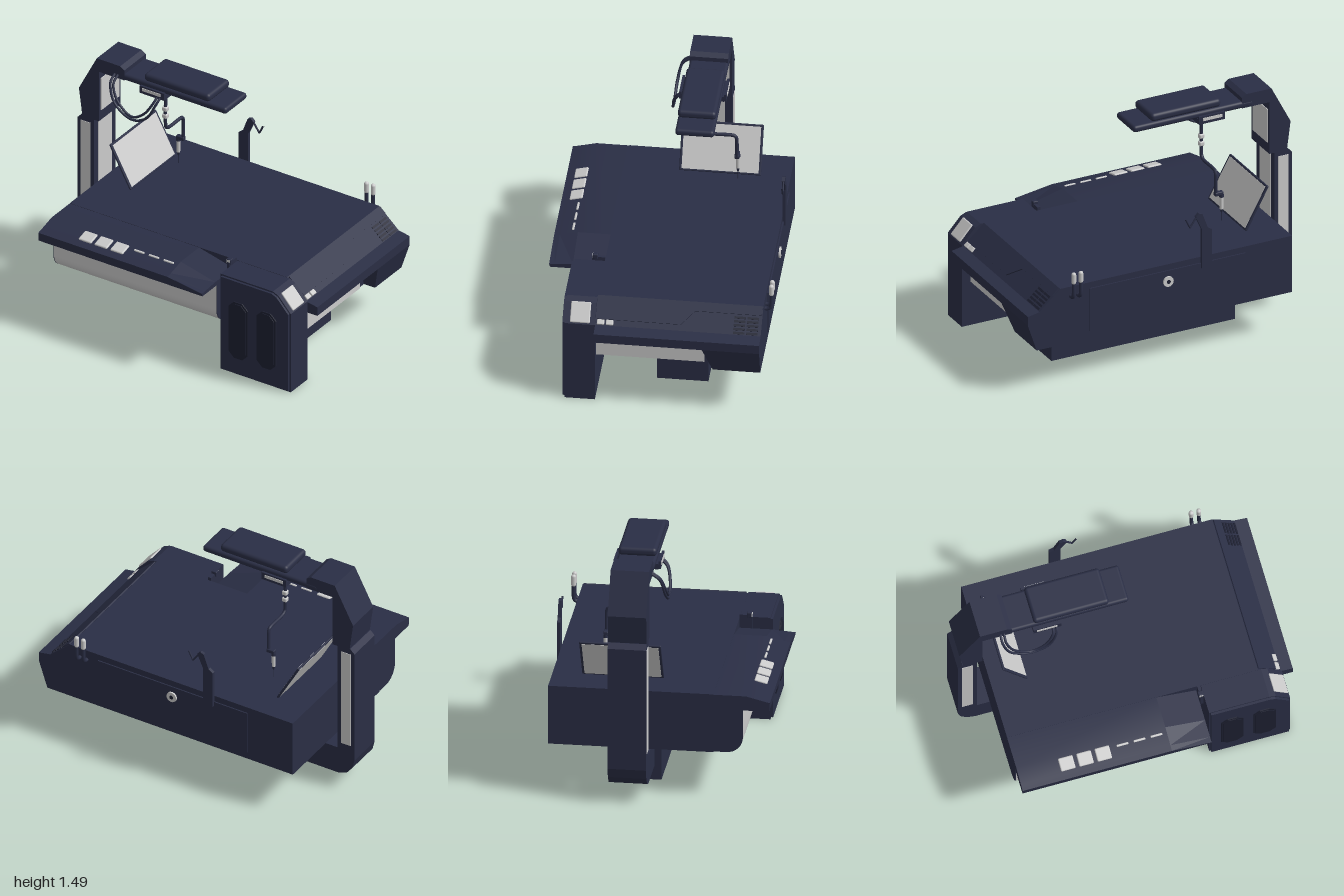
import * as THREE from 'three';
import { RoundedBoxGeometry } from 'three/addons/geometries/RoundedBoxGeometry.js';
import { toCreasedNormals } from 'three/addons/utils/BufferGeometryUtils.js';

const navy = new THREE.MeshStandardMaterial({ color: 0x2a2e45 });
const dark = new THREE.MeshStandardMaterial({ color: 0x1d2031 });
const grey = new THREE.MeshStandardMaterial({ color: 0xcccccc });

export function createModel() {
  const root = new THREE.Group();

  const add = (name, geo, mat = navy, parent = root) => {
    const m = new THREE.Mesh(geo, mat);
    m.name = name;
    parent.add(m);
    return m;
  };
  // Box from its extents, optionally rounded
  const box = (name, [x0, x1], [y0, y1], [z0, z1], mat = navy, r = 0, parent = root) => {
    const s = [x1 - x0, y1 - y0, z1 - z0];
    const g = r ? new RoundedBoxGeometry(...s, 3, r) : new THREE.BoxGeometry(...s);
    g.translate((x0 + x1) / 2, (y0 + y1) / 2, (z0 + z1) / 2);
    return add(name, g, mat, parent);
  };
  const extrude = (pts, depth) => new THREE.ExtrudeGeometry(
    new THREE.Shape(pts.map(p => new THREE.Vector2(...p))), { depth, bevelEnabled: false });
  // Prism of an (x, y) outline along z
  const prismZ = (name, pts, z0, z1, mat = navy) =>
    add(name, extrude(pts, z1 - z0).translate(0, 0, z0), mat);
  // Prism of a (z, y) outline along x
  const prismX = (name, pts, x0, x1, mat = navy) =>
    add(name, toCreasedNormals(extrude(pts, x1 - x0).rotateY(-Math.PI / 2).translate(x1, 0, 0), 0.5), mat);
  const tube = (name, pts, r, mat = navy, tension = 0.5) => add(name, new THREE.TubeGeometry(
    new THREE.CatmullRomCurve3(pts.map(p => new THREE.Vector3(...p)), false, 'catmullrom', tension), 60, r, 10), mat);
  const rod = (name, x, y0, y1, z, rTop, rBottom, mat = navy) =>
    add(name, new THREE.CylinderGeometry(rTop, rBottom, y1 - y0, 16).translate(x, (y0 + y1) / 2, z), mat);

  // Main body and pedestal
  prismZ('body', [[-0.8, 0.29], [0.86, 0.29], [0.86, 0.47], [1, 0.47], [1, 0.53],
    [0.92, 0.545], [0.78, 0.67], [-0.8, 0.67]], -0.65, 0.36);
  box('pedestal', [-0.59, 0.66], [0, 0.29], [-0.3, 0.015]);
  box('rightSidePanel', [0.85, 0.87], [0.292, 0.47], [-0.3, 0.36], grey);

  // Rear right bracket with a chamfered lower front corner
  const bracket = prismZ('sideBracket', [[0.85, 0.29], [0.94, 0.29], [1, 0.47], [0.85, 0.47]], -0.65, -0.3);
  const bp = bracket.geometry.attributes.position;
  for (let i = 0; i < bp.count; i++) if (bp.getY(i) < 0.3 && bp.getZ(i) > -0.4) bp.setZ(i, -0.36);
  bracket.geometry.computeVertexNormals();

  // Sloped right edge: stepped cover, vents and keys
  const slope = new THREE.Group();
  slope.name = 'slopedEdge';
  slope.position.set(0.85, 0.6075, 0);
  slope.rotation.z = Math.atan2(-0.125, 0.14);
  root.add(slope);
  add('steppedCover', extrude([[-0.09, -0.35], [0.056, -0.35], [0.056, 0.16], [-0.034, 0.24],
    [-0.034, 0.645], [-0.09, 0.645]], 0.008).rotateX(-Math.PI / 2), navy, slope);
  for (const z of [-0.63, -0.55]) {
    for (let i = 0; i < 5; i++) {
      const s = -0.02 + i * 0.024;
      box('ventSlat', [s, s + 0.014], [-0.005, 0.004], [z, z + 0.07], dark, 0, slope);
    }
  }
  for (const z of [0.25, 0.305]) box('sideKey', [0.058, 0.09], [-0.005, 0.012], [z, z + 0.045], grey, 0.005, slope);

  // Front apron: rounded panel with dark end plates
  const apron = [[0.35, 0.575], [0.35, 0.295], [0.44, 0.295]];
  for (let i = 1; i <= 8; i++) {
    const a = (i / 8) * Math.PI / 2;
    apron.push([0.44 + 0.1 * Math.sin(a), 0.395 - 0.1 * Math.cos(a)]);
  }
  apron.push([0.54, 0.575]);
  prismX('frontApron', apron, -0.795, 0.385, grey);
  prismX('apronEnd', apron, -0.8, -0.795);
  prismX('apronEnd', apron, 0.385, 0.39);

  // Control ledge, its right end sloping down
  const ledge = [[0.35, 0.575], [0.7, 0.575], [0.705, 0.632], [0.67, 0.64], [0.56, 0.668], [0.35, 0.668]];
  prismX('controlLedge', ledge, -0.8, 0.14);
  const tray = prismX('slopedTray', ledge, 0.14, 0.39);
  const tp = tray.geometry.attributes.position;
  for (let i = 0; i < tp.count; i++)
    if (tp.getX(i) > 0.3 && tp.getY(i) > 0.6) tp.setY(i, 0.595 + (tp.getY(i) - 0.632) * 0.3);
  tray.geometry.computeVertexNormals();

  // Buttons on the ledge
  const ledgeTilt = Math.atan2(0.028, 0.11);
  for (let i = 0; i < 3; i++) {
    const key = add('largeButton', new RoundedBoxGeometry(0.092, 0.016, 0.082, 3, 0.008), grey);
    key.position.set(-0.497 + i * 0.115, 0.656, 0.615);
    const bar = add('barButton', new RoundedBoxGeometry(0.074, 0.012, 0.014, 2, 0.005), grey);
    bar.position.set(-0.14 + i * 0.107, 0.662, 0.593);
    key.rotation.x = bar.rotation.x = ledgeTilt;
  }

  // Control cabinet with octagonal doors and angled touch pad
  prismZ('controlCabinet', [[0.42, 0], [0.93, 0], [0.93, 0.55], [0.84, 0.65], [0.8, 0.668], [0.42, 0.668]], 0.36, 0.545);
  prismZ('cabinetFront', [[0.43, 0.01], [0.92, 0.01], [0.92, 0.55], [0.835, 0.643], [0.8, 0.658], [0.43, 0.658]], 0.545, 0.56);
  for (const x of [0.56, 0.765]) {
    const octagon = (w, h, c) => [[-w + c, -h], [w - c, -h], [w, -h + c], [w, h - c], [w - c, h], [-w + c, h], [-w, h - c], [-w, -h + c]]
      .map(([px, py]) => [x + px, 0.32 + py]);
    prismZ('cabinetDoor', octagon(0.07, 0.197, 0.04), 0.555, 0.567, dark);
    prismZ('cabinetDoorInset', octagon(0.058, 0.185, 0.034), 0.567, 0.571, dark);
  }
  const pad = add('touchPad', new RoundedBoxGeometry(0.13, 0.014, 0.122, 3, 0.007), grey);
  pad.position.set(0.882, 0.605, 0.453);
  pad.rotation.z = -0.838;
  box('latchBar', [0.395, 0.415], [0.57, 0.69], [0.36, 0.44]);
  box('latch', [0.385, 0.42], [0.675, 0.708], [0.405, 0.435], navy, 0.005);
  box('latchFace', [0.39, 0.415], [0.68, 0.703], [0.433, 0.438], grey);

  // Side column, foot and upper arm
  prismZ('columnAndFoot', [[-0.6, 0.1], [-0.89, 0.1], [-0.945, 0.12], [-0.985, 0.17], [-1, 0.23], [-1, 1.02],
    [-0.97, 1.05], [-0.88, 1.05], [-0.88, 0.285], [-0.6, 0.285]].reverse(), -0.26, -0.025);
  prismZ('upperArm', [[-0.965, 1.04], [-0.845, 1.04], [-0.845, 1.39], [-0.66, 1.39], [-0.66, 1.46], [-0.69, 1.48],
    [-0.86, 1.48], [-0.99, 1.23]], -0.26, -0.025);
  box('columnPanel', [-0.975, -0.905], [0.33, 1.01], [-0.263, -0.022], grey);
  box('columnInnerPanel', [-0.885, -0.877], [0.33, 1.01], [-0.215, -0.07], grey);
  box('upperArmPanel', [-0.85, -0.84], [1.11, 1.335], [-0.245, -0.045], grey);

  // Overhead beam, cover and carriage
  box('overheadBeam', [-0.74, 0.078], [1.388, 1.432], [-0.262, -0.025], navy, 0.018);
  box('beamCover', [-0.52, -0.045], [1.432, 1.485], [-0.26, -0.025], navy, 0.022);
  box('carriage', [-0.53, -0.355], [1.358, 1.392], [-0.272, -0.012]);
  for (const z of [-0.285, -0.012]) box('carriageEnd', [-0.53, -0.355], [1.36, 1.41], [z, z + 0.014]);
  for (const z of [-0.29, 0.002]) box('carriageLabel', [-0.51, -0.38], [1.38, 1.4], [z, z + 0.004], grey);
  rod('armSocket', -0.44, 1.33, 1.36, -0.145, 0.035, 0.02);

  // Suspended arm with ball joints and hand tool
  tube('suspendedArm', [[-0.44, 1.36, -0.145], [-0.44, 1.25, -0.145], [-0.44, 1.1, -0.145], [-0.44, 1.065, -0.16],
    [-0.44, 1.055, -0.2], [-0.44, 1.055, -0.31], [-0.44, 1.04, -0.335], [-0.44, 1, -0.34], [-0.44, 0.9, -0.34]], 0.011);
  for (const y of [1.155, 1.205]) box('joint', [-0.457, -0.423], [y - 0.016, y + 0.016], [-0.162, -0.128], grey, 0.009);
  box('toolBracket', [-0.487, -0.43], [0.885, 0.91], [-0.355, -0.325], navy, 0.006);
  rod('toolNeck', -0.477, 0.87, 0.89, -0.342, 0.014, 0.014);
  rod('toolGrip', -0.477, 0.79, 0.875, -0.342, 0.013, 0.011, grey);
  rod('toolTip', -0.477, 0.765, 0.79, -0.342, 0.011, 0.004);
  rod('needle', -0.477, 0.71, 0.77, -0.342, 0.002, 0.002);

  // Pair of looping hoses
  for (const [d, y] of [[0, 0], [0.022, 0.02]])
    tube('hose', [[-0.73 + d, 1.42, -0.04], [-0.728 + d, 1.37, 0.025], [-0.68 + d, 1.26 + y, 0.05], [-0.56, 1.19 + y, 0.055],
      [-0.45 - d, 1.23 + y, 0.052], [-0.395 - d, 1.33, 0.03], [-0.385 - d, 1.38, -0.02]], 0.008);

  // Tilted screen, pale on both faces
  const screen = new THREE.Group();
  screen.name = 'screen';
  screen.position.set(-0.655, 0.805, -0.22);
  screen.rotation.z = 0.507;
  root.add(screen);
  add('screenFrame', new RoundedBoxGeometry(0.014, 0.31, 0.5, 2, 0.006), navy, screen);
  add('screenFaces', new THREE.BoxGeometry(0.017, 0.285, 0.47), grey, screen);

  // Rear access panel with a round lock
  box('rearPanel', [-0.48, 0.58], [0.34, 0.63], [-0.658, -0.645]);
  add('rearLock', new THREE.CylinderGeometry(0.034, 0.034, 0.014, 24).rotateX(Math.PI / 2).translate(0.05, 0.56, -0.662), grey);
  add('rearLockCentre', new THREE.CylinderGeometry(0.013, 0.013, 0.018, 16).rotateX(Math.PI / 2).translate(0.05, 0.56, -0.662), dark);

  // Folding rear stand
  prismZ('rearStand', [[-0.245, 0.6], [-0.175, 0.6], [-0.175, 0.865], [-0.135, 0.955], [-0.155, 0.975], [-0.18, 0.965],
    [-0.215, 0.87], [-0.245, 0.85]], -0.67, -0.65);
  tube('standClip', [[-0.15, 0.962, -0.66], [-0.1, 0.89, -0.66], [-0.07, 0.95, -0.66]], 0.006, navy, 0.05);

  // Two elbow connectors at the back
  for (const x of [0.66, 0.708]) {
    tube('connectorElbow', [[x, 0.605, -0.645], [x, 0.608, -0.67], [x, 0.63, -0.688], [x, 0.71, -0.69]], 0.012);
    add('connectorCap', new THREE.CapsuleGeometry(0.015, 0.05, 6, 14).translate(x, 0.742, -0.69), grey);
  }
  return root;
}
